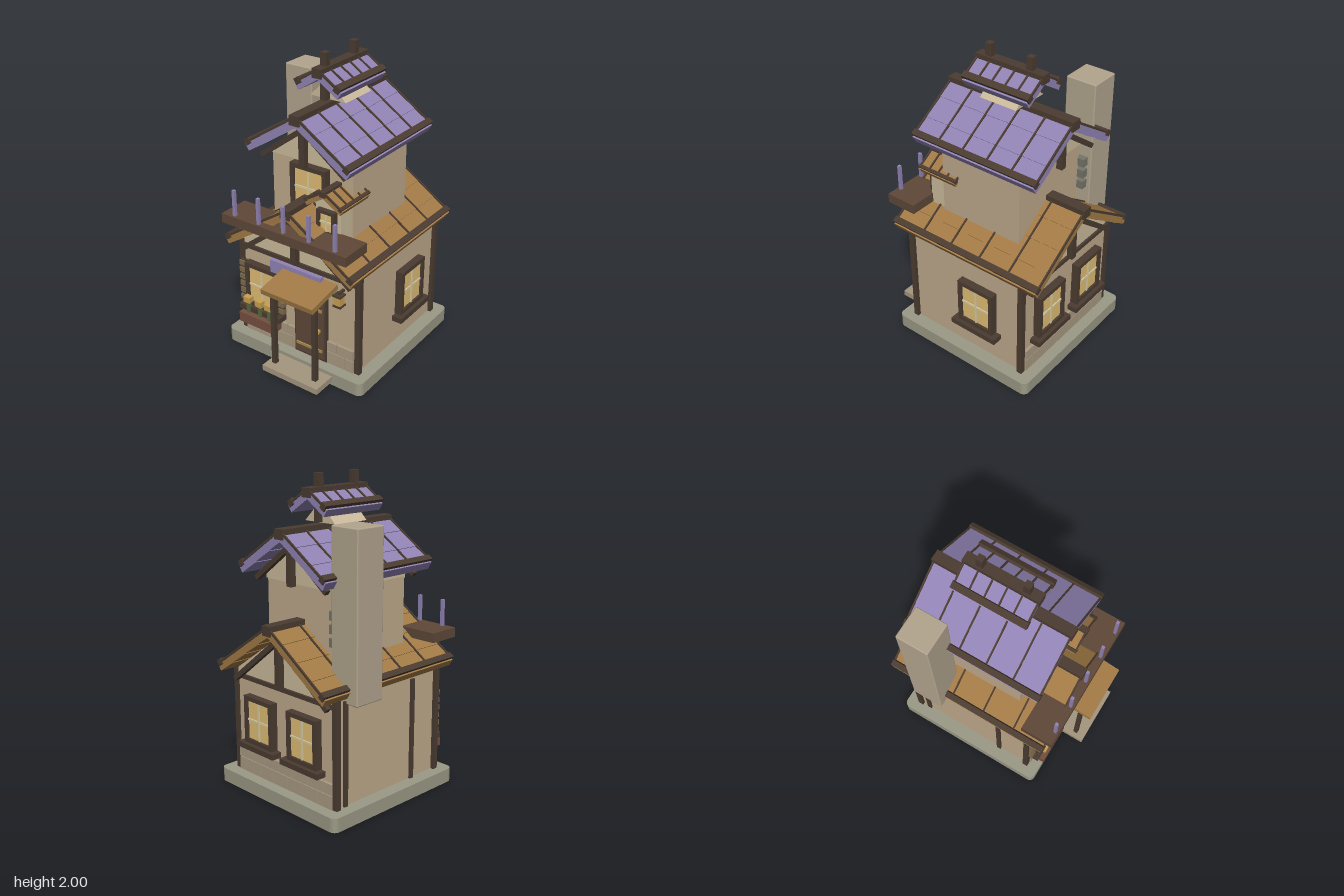
import * as THREE from 'three';
import { RoundedBoxGeometry } from 'three/addons/geometries/RoundedBoxGeometry.js';

const mat = (color) => new THREE.MeshStandardMaterial({ color });
const M = {
  wall: mat(0xbfa98b), gable: mat(0xcbbb9c), dark: mat(0x4b3c31), door: mat(0x5e4838),
  thatch: mat(0xa27a45), purple: mat(0x9183b4), base: mat(0x9b9985), step: mat(0xa59780),
  stone: mat(0xa99a82), chimney: mat(0xb2a58e), slate: mat(0x74756a), pane: mat(0xe0bd74),
  bar: mat(0xd8cda4), brass: mat(0xa88a4c), slat: mat(0x7d6a4c), pot: mat(0x75503f),
  green: mat(0x58693f), petal: mat(0xc9a050),
};

function box(parent, name, m, w, h, d, x, y, z) {
  const mesh = new THREE.Mesh(new THREE.BoxGeometry(w, h, d), m);
  mesh.name = name;
  mesh.position.set(x, y, z);
  parent.add(mesh);
  return mesh;
}

// Box given by its minimum and maximum on each axis
const span = (p, name, m, x0, x1, y0, y1, z0, z1) =>
  box(p, name, m, x1 - x0, y1 - y0, z1 - z0, (x0 + x1) / 2, (y0 + y1) / 2, (z0 + z1) / 2);

// Straight timber between two points in a plane of constant z
function beam(p, name, x0, y0, x1, y1, z, t) {
  const b = box(p, name, M.dark, Math.hypot(x1 - x0, y1 - y0), t, t, (x0 + x1) / 2, (y0 + y1) / 2, z);
  b.rotation.z = Math.atan2(y1 - y0, x1 - x0);
}

// Outline in x/y extruded from z0 to z1
function prism(p, name, m, points, z0, z1) {
  const shape = new THREE.Shape(points.map(([x, y]) => new THREE.Vector2(x, y)));
  const mesh = new THREE.Mesh(new THREE.ExtrudeGeometry(shape, { depth: z1 - z0, bevelEnabled: false }), m);
  mesh.name = name;
  mesh.position.z = z0;
  p.add(mesh);
}

// Two sloping sides of tile courses with battens, eave trims and a ridge beam
function roof(p, name, m, o) {
  const g = new THREE.Group();
  g.name = name;
  g.position.set(o.x || 0, o.apex, (o.z0 + o.z1) / 2);
  const D = o.z1 - o.z0, L = o.half / Math.cos(o.angle), k = o.trim;
  for (const s of [-1, 1]) {
    const side = new THREE.Group();
    side.name = 'roofSide';
    side.rotation.z = -s * o.angle;
    const l = L / o.rows;
    for (let i = 0; i < o.rows; i++) {
      const row = box(side, 'tileCourse', m, l * 1.01, o.thick, D - 0.012, s * l * (i + 0.5), -o.thick / 2, 0);
      if (o.rows > 1) row.rotation.z = s * 0.025;
    }
    for (let i = 0; i <= o.panels; i++) {
      const z = -D / 2 + 0.006 + (i * (D - 0.012)) / o.panels;
      box(side, 'batten', M.dark, L * 0.95, 0.014, 0.01, s * L * 0.475, 0.001, z);
    }
    box(side, 'eaveTrim', M.dark, k, k, D + 0.004, s * (L - k * 0.75), 0, 0);
    g.add(side);
  }
  box(g, 'ridgeBeam', M.dark, o.ridge, o.ridge * 0.88, D + 0.012, 0, -o.ridge * 0.3, 0);
  p.add(g);
}

// Framed window facing +z, centred on its own origin
function windowUnit(p, name, w, h, x, y, z, turn = 0, sill = true) {
  const g = new THREE.Group();
  g.name = name;
  const f = Math.min(0.028, w * 0.16);
  for (const s of [-1, 1]) {
    box(g, 'frameSide', M.dark, f, h, 0.05, s * (w - f) / 2, 0, 0.015);
    box(g, 'frameRail', M.dark, w, f, 0.05, 0, s * (h - f) / 2, 0.015);
  }
  box(g, 'pane', M.pane, w - f, h - f, 0.03, 0, 0, 0.01);
  box(g, 'mullion', M.bar, 0.013, h - 2 * f, 0.04, 0, 0, 0.012);
  box(g, 'crossBar', M.bar, w - 2 * f, 0.013, 0.04, 0, 0, 0.012);
  if (sill) box(g, 'sill', M.dark, w + 0.075, 0.036, 0.07, 0, -h / 2 - 0.018, 0.03);
  g.position.set(x, y, z);
  g.rotation.y = turn;
  p.add(g);
}

// Rafters, king post under one gable end
function truss(p, z, half, yLow, yTop, yPost, t) {
  for (const s of [-1, 1]) beam(p, 'rafter', 0, yTop, s * half, yLow, z, t);
  span(p, 'kingPost', M.dark, -0.02, 0.02, yPost, yTop + 0.02, z - 0.02, z + 0.02);
}

// Low wall of staggered stones
function stoneWall(p, z) {
  for (let r = 0; r < 2; r++) {
    const y0 = r ? 0.18 : 0.09, y1 = r ? 0.25 : 0.176;
    for (let x = -0.43, i = 0; x < 0.42; i++) {
      const w = i === 0 && r ? 0.08 : 0.125 + 0.015 * ((i + r) % 2);
      const end = Math.min(x + w, 0.43);
      span(p, 'stone', M.stone, x, end - 0.005, y0, y1, z - 0.015, z + 0.015);
      x = end;
    }
  }
}

export function createModel() {
  const g = new THREE.Group();
  g.name = 'cottage';

  // Foundation slab with rounded corners
  const s = new THREE.Shape(), r = 0.04, X = 0.533, Z = 0.533;
  s.absarc(X - r, Z - r, r, 0, Math.PI / 2);
  s.absarc(-X + r, Z - r, r, Math.PI / 2, Math.PI);
  s.absarc(-X + r, -Z + r, r, Math.PI, Math.PI * 1.5);
  s.absarc(X - r, -Z + r, r, Math.PI * 1.5, Math.PI * 2);
  const base = new THREE.Mesh(new THREE.ExtrudeGeometry(s, { depth: 0.09, bevelEnabled: false, curveSegments: 4 }), M.base);
  base.name = 'foundation';
  base.rotation.x = -Math.PI / 2;
  base.position.z = -0.066;
  g.add(base);
  span(g, 'doorstep', M.step, -0.107, 0.32, 0.025, 0.065, 0.42, 0.627);

  // Ground floor
  span(g, 'lowerWalls', M.wall, -0.445, 0.445, 0.09, 0.76, -0.505, 0.375);
  prism(g, 'lowerGable', M.gable, [[-0.44, 0.74], [0.44, 0.74], [0.44, 0.77], [0, 1.07], [-0.44, 0.77]], -0.51, 0.38);
  for (const x of [-0.45, 0.45]) for (const z of [-0.5, 0.37])
    span(g, 'cornerPost', M.dark, x - 0.018, x + 0.018, 0.09, 0.79, z - 0.018, z + 0.018);
  for (const z of [-0.43, 0.15]) box(g, 'sideTimber', M.dark, 0.025, 0.66, 0.03, -0.447, 0.42, z);
  for (const z of [-0.51, 0.38]) {
    box(g, 'tieBeam', M.dark, 0.88, 0.028, 0.03, 0, 0.728, z);
    stoneWall(g, z);
  }
  truss(g, 0.41, 0.42, 0.71, 1.04, 0.74, 0.032);
  truss(g, -0.54, 0.42, 0.71, 1.04, 0.74, 0.032);
  roof(g, 'lowerRoof', M.thatch, { apex: 1.135, half: 0.49, angle: 0.59, thick: 0.05, z0: -0.63, z1: 0.495, rows: 4, panels: 5, trim: 0.04, ridge: 0.07 });

  // Upper floor
  span(g, 'upperWalls', M.wall, -0.3, 0.3, 0.85, 1.36, -0.36, 0.225);
  prism(g, 'upperGable', M.gable, [[-0.3, 1.35], [0.3, 1.35], [0.3, 1.39], [0, 1.62], [-0.3, 1.39]], -0.372, 0.235);
  truss(g, 0.31, 0.31, 1.36, 1.59, 1.35, 0.032);
  truss(g, -0.435, 0.31, 1.36, 1.59, 1.35, 0.032);
  roof(g, 'upperRoof', M.purple, { apex: 1.69, half: 0.385, angle: 0.58, thick: 0.055, z0: -0.523, z1: 0.388, rows: 3, panels: 5, trim: 0.04, ridge: 0.07 });
  windowUnit(g, 'upperWindow', 0.265, 0.3, 0, 1.19, 0.235, 0, false);

  // Small cap roof with two finials
  prism(g, 'capGable', M.gable, [[-0.13, 1.705], [0.13, 1.705], [0, 1.83]], -0.2, 0.065);
  roof(g, 'capRoof', M.purple, { apex: 1.91, half: 0.168, angle: 0.57, thick: 0.05, z0: -0.307, z1: 0.172, rows: 1, panels: 5, trim: 0.042, ridge: 0.066 });
  for (const z of [-0.207, 0.09]) span(g, 'finial', M.dark, -0.021, 0.021, 1.71, 2.0, z - 0.021, z + 0.021);

  // Dormer
  span(g, 'dormerWalls', M.gable, 0.11, 0.29, 0.93, 1.18, 0.1, 0.335);
  prism(g, 'dormerGable', M.gable, [[0.11, 1.17], [0.29, 1.17], [0.2, 1.235]], 0.1, 0.335);
  windowUnit(g, 'dormerWindow', 0.13, 0.16, 0.2, 1.065, 0.33, 0, false);
  roof(g, 'dormerRoof', M.thatch, { x: 0.2, apex: 1.275, half: 0.138, angle: 0.56, thick: 0.035, z0: 0.1, z1: 0.395, rows: 1, panels: 4, trim: 0.022, ridge: 0.04 });

  // Balcony
  span(g, 'balconyFloor', M.door, -0.46, 0.47, 0.943, 1.005, 0.328, 0.542);
  for (let i = -2; i <= 2; i++) box(g, 'balconyPost', M.purple, 0.02, 0.175, 0.02, i * 0.188 + 0.004, 1.09, 0.518);

  // Chimney and its tie stones
  const chimney = new THREE.Mesh(new RoundedBoxGeometry(0.21, 1.02, 0.21, 2, 0.008), M.chimney);
  chimney.name = 'chimney';
  chimney.position.set(-0.44, 1.24, -0.325);
  g.add(chimney);
  for (const y of [1.06, 1.14, 1.22]) box(g, 'tieStone', M.slate, 0.07, 0.055, 0.06, -0.325, y, -0.375);

  // Windows of the ground floor
  windowUnit(g, 'frontWindow', 0.26, 0.31, -0.27, 0.468, 0.385);
  windowUnit(g, 'sideWindow', 0.27, 0.31, 0.46, 0.468, -0.175, Math.PI / 2);
  for (const x of [-0.2, 0.2]) windowUnit(g, 'backWindow', 0.26, 0.31, x, 0.468, -0.515, Math.PI);

  // Shutters with slats
  for (const x of [-0.428, -0.122]) {
    box(g, 'shutter', M.dark, 0.042, 0.31, 0.02, x, 0.468, 0.395);
    for (let i = 0; i < 6; i++) box(g, 'shutterSlat', M.slat, 0.05, 0.034, 0.03, x, 0.345 + i * 0.051, 0.4);
  }

  // Flower box
  span(g, 'flowerBox', M.pot, -0.41, -0.13, 0.205, 0.275, 0.4, 0.485);
  for (const x of [-0.355, -0.26, -0.185]) {
    box(g, 'stem', M.green, 0.024, 0.09, 0.024, x, 0.315, 0.45);
    box(g, 'blossom', M.petal, 0.05, 0.04, 0.04, x, 0.376, 0.455);
  }

  // Door
  span(g, 'doorFrame', M.dark, -0.018, 0.228, 0.09, 0.572, 0.37, 0.4);
  span(g, 'door', M.door, -0.005, 0.215, 0.11, 0.56, 0.38, 0.41);
  for (const y of [0.17, 0.468]) box(g, 'doorStrap', M.brass, 0.2, 0.018, 0.012, 0.105, y, 0.412);
  box(g, 'doorHandle', M.petal, 0.022, 0.022, 0.03, 0.18, 0.318, 0.42);

  // Porch
  for (const x of [-0.06, 0.255]) span(g, 'porchPost', M.dark, x - 0.015, x + 0.015, 0.065, 0.63, 0.54, 0.57);
  const canopy = box(g, 'porchRoof', M.thatch, 0.39, 0.036, 0.26, 0.105, 0.647, 0.507);
  canopy.rotation.x = 0.18;
  span(g, 'signBoard', M.purple, -0.19, 0.2, 0.62, 0.71, 0.39, 0.42);

  // Lantern
  box(g, 'lanternBracket', M.dark, 0.016, 0.016, 0.06, 0.342, 0.662, 0.4);
  box(g, 'lanternGlass', M.petal, 0.046, 0.06, 0.046, 0.342, 0.615, 0.425);
  for (const y of [0.58, 0.65]) box(g, 'lanternCap', M.dark, 0.058, 0.012, 0.058, 0.342, y, 0.425);

  return g;
}
